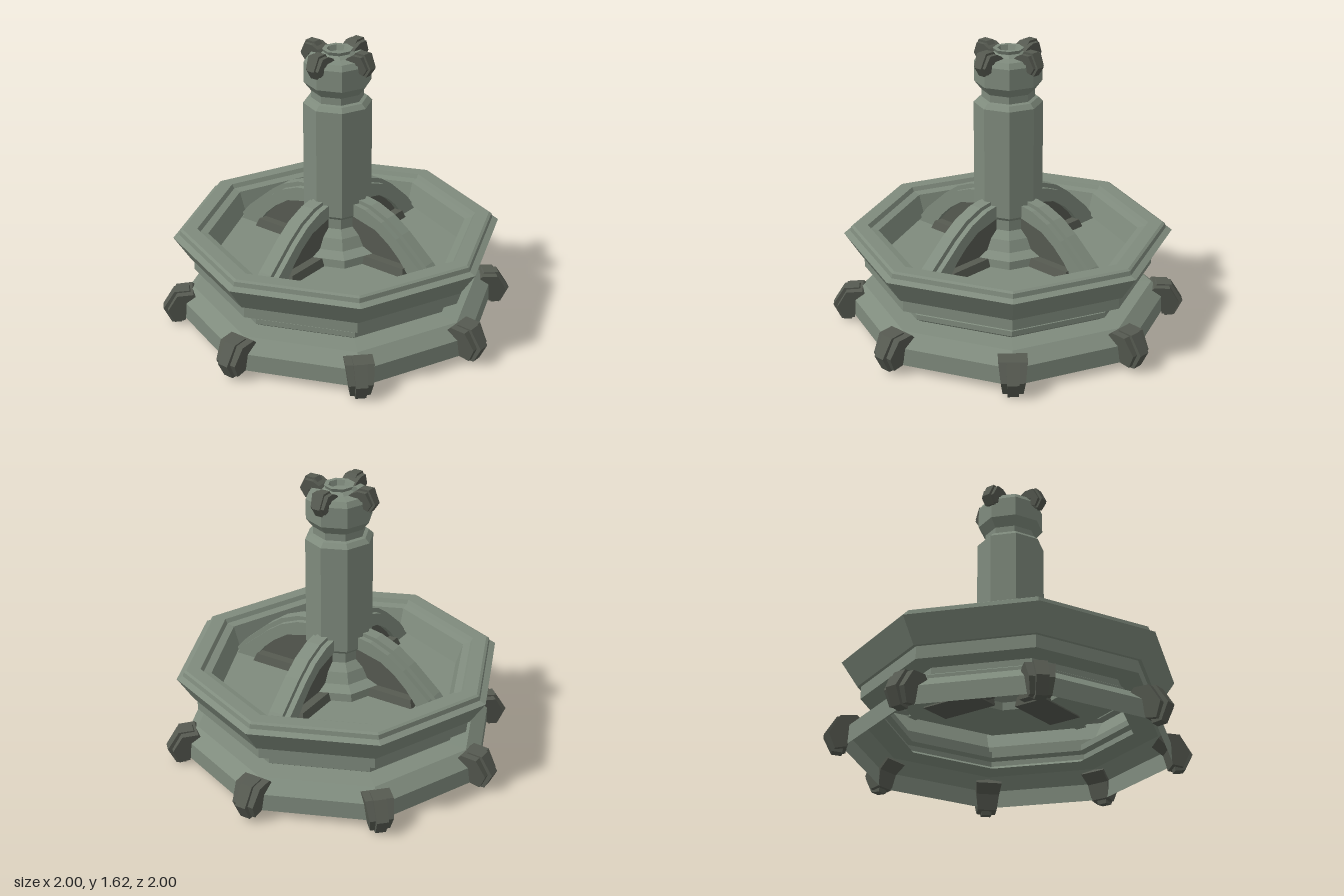
import * as THREE from 'three';

const stone = new THREE.MeshStandardMaterial({ color: 0x7f8b7d, flatShading: true, side: THREE.DoubleSide });
stone.name = 'green grey stone';
const iron = new THREE.MeshStandardMaterial({ color: 0x565a51, flatShading: true, side: THREE.DoubleSide });
iron.name = 'dark stone';

// Eight-sided turned part with corners on the axes
function octagon(name, profile) {
  const geo = new THREE.LatheGeometry(profile.map(([r, y]) => new THREE.Vector2(r, y)), 8);
  const mesh = new THREE.Mesh(geo, stone);
  mesh.name = name;
  return mesh;
}

// Side profile in (radius, height), given a thickness; taper narrows it towards its low end
function slab(name, profile, halfWidth, material, taper = 1) {
  const shape = new THREE.Shape(profile.map(([r, y]) => new THREE.Vector2(r, y)));
  const geo = new THREE.ExtrudeGeometry(shape, { depth: 2 * halfWidth, bevelEnabled: false });
  geo.translate(0, 0, -halfWidth);
  const ys = profile.map((p) => p[1]);
  const low = Math.min(...ys), high = Math.max(...ys);
  const pos = geo.attributes.position;
  for (let i = 0; i < pos.count; i++) {
    const t = (pos.getY(i) - low) / (high - low);
    pos.setZ(i, pos.getZ(i) * THREE.MathUtils.lerp(taper, 1, t));
  }
  geo.computeVertexNormals();
  const mesh = new THREE.Mesh(geo, material);
  mesh.name = name;
  return mesh;
}

// Repeat a part around the vertical axis
function ring(parent, count, build) {
  for (let i = 0; i < count; i++) {
    const part = build(i);
    part.rotation.y = (i / count) * Math.PI * 2;
    parent.add(part);
  }
}

function baseClaw(i) {
  const g = new THREE.Group();
  g.name = 'baseClaw';
  g.add(slab('clawBody', [
    [0.80, 0.18], [0.83, 0.21], [0.92, 0.205], [0.975, 0.11], [0.94, 0.03],
    [0.88, 0.04], [0.86, 0.13],
  ], 0.078, iron, 0.7));
  g.add(slab('clawRidge', [
    [0.83, 0.19], [0.85, 0.217], [0.935, 0.213], [1.0, 0.11], [0.955, 0.02],
    [0.90, 0.015], [0.88, 0.12],
  ], 0.036, iron, 0.8));
  g.position.y = i % 2 ? -0.015 : 0;
  return g;
}

function topClaw() {
  const g = new THREE.Group();
  g.name = 'topClaw';
  g.add(slab('clawBody', [
    [0.08, 1.565], [0.10, 1.585], [0.14, 1.605], [0.19, 1.605], [0.222, 1.54],
    [0.195, 1.50], [0.165, 1.51], [0.17, 1.55],
  ], 0.05, iron, 0.7));
  g.add(slab('clawRidge', [
    [0.10, 1.57], [0.14, 1.617], [0.198, 1.617], [0.237, 1.54], [0.205, 1.49],
    [0.175, 1.50], [0.17, 1.55],
  ], 0.026, iron, 0.8));
  return g;
}

function buttress() {
  const g = new THREE.Group();
  g.name = 'buttress';
  const outer = [[0.15, 0.75], [0.24, 0.735], [0.35, 0.69], [0.45, 0.62], [0.53, 0.55], [0.61, 0.48], [0.66, 0.42]];
  const inner = [[0.54, 0.42], [0.47, 0.51], [0.40, 0.575], [0.31, 0.635], [0.15, 0.675]];
  g.add(slab('arch', [...outer, ...inner], 0.066, stone));
  // narrow raised rib along the back of the arch
  const raised = outer.map(([r, y]) => [r + (r > 0.2 ? 0.018 : 0), y + 0.02]);
  raised.push([0.70, 0.42]);
  g.add(slab('archRidge', [...raised, ...[...outer].reverse()], 0.034, stone));
  // recessed web under the arch and low footing along the basin floor
  g.add(slab('web', [[0.13, 0.42], [0.13, 0.68], ...[...inner].reverse()], 0.035, iron));
  const foot = slab('footing', [[0.18, 0.41], [0.53, 0.41], [0.51, 0.465], [0.18, 0.465]], 0.085, iron, 1.2);
  g.add(foot);
  return g;
}

export function createModel() {
  const model = new THREE.Group();
  model.name = 'fountain';

  // Hollow base, moulded waist, basin rim and floor in one shell
  model.add(octagon('basin', [
    [0.90, 0.04], [0.90, 0.14], [0.82, 0.205], [0.68, 0.21], [0.72, 0.235], [0.72, 0.265],
    [0.69, 0.28], [0.69, 0.315], [0.815, 0.32], [0.815, 0.39], [0.835, 0.39], [0.925, 0.525],
    [0.89, 0.54], [0.885, 0.565], [0.87, 0.573], [0.79, 0.573], [0.775, 0.55], [0.73, 0.54],
    [0.69, 0.42], [0.29, 0.42],
  ]));

  // Plinth, shaft, neck, capital and open spout
  model.add(octagon('column', [
    [0.29, 0.42], [0.285, 0.465], [0.22, 0.49], [0.19, 0.55], [0.145, 0.59], [0.145, 0.65],
    [0.17, 0.66], [0.19, 0.68], [0.19, 1.30], [0.165, 1.325], [0.145, 1.33], [0.145, 1.37],
    [0.185, 1.42], [0.185, 1.535], [0.165, 1.565], [0.10, 1.57], [0.075, 1.585],
    [0.085, 1.605], [0.06, 1.605], [0.05, 1.575], [0, 1.575],
  ]));

  ring(model, 8, baseClaw);
  ring(model, 4, buttress);
  ring(model, 4, topClaw);
  return model;
}
